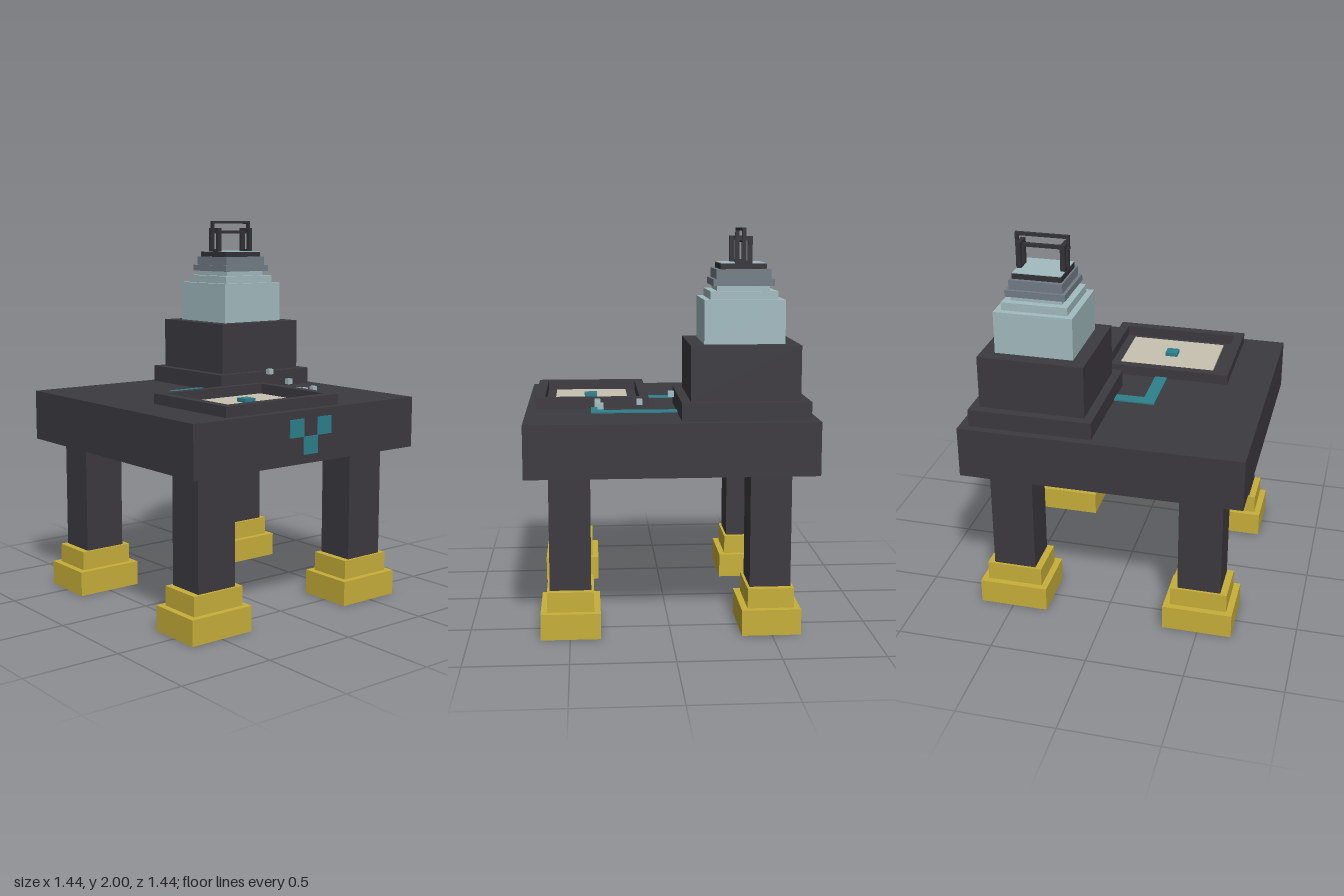
import * as THREE from 'three';

const mat = (name, color) => {
  const m = new THREE.MeshStandardMaterial({ color });
  m.name = name;
  return m;
};

export function createModel() {
  const root = new THREE.Group();
  root.name = 'steppedTable';
  const dark = mat('charcoal', 0x3c3a40);
  const black = mat('darkIron', 0x333238);
  const gold = mat('gold', 0xc8b03a);
  const pale = mat('paleBlue', 0xa3bcc1);
  const grey = mat('slateGrey', 0x737d87);
  const teal = mat('teal', 0x2d808c);
  const cream = mat('cream', 0xc8c2b0);

  // Box from its minimum and maximum corners
  const box = (name, m, x0, x1, y0, y1, z0, z1, parent = root) => {
    const mesh = new THREE.Mesh(new THREE.BoxGeometry(x1 - x0, y1 - y0, z1 - z0), m);
    mesh.position.set((x0 + x1) / 2, (y0 + y1) / 2, (z0 + z1) / 2);
    mesh.name = name;
    parent.add(mesh);
  };
  // Box centred on (cx, cz) with width w, depth d, from y0 to y1
  const block = (name, m, cx, cz, w, d, y0, y1, parent = root) =>
    box(name, m, cx - w / 2, cx + w / 2, y0, y1, cz - d / 2, cz + d / 2, parent);
  const group = (name) => {
    const g = new THREE.Group();
    g.name = name;
    root.add(g);
    return g;
  };

  // Table top
  box('tableTop', dark, -0.72, 0.72, 0.815, 1.08, -0.72, 0.715);

  // Legs with two-step feet
  for (const sx of [-1, 1]) for (const sz of [-1, 1]) {
    const leg = group('leg');
    const x = sx * 0.495, z = sz * 0.497;
    block('legPost', dark, x, z, 0.224, 0.205, 0.23, 0.815, leg);
    block('upperFoot', gold, x, z, 0.295, 0.232, 0.13, 0.23, leg);
    block('lowerFoot', gold, x, z, 0.362, 0.296, 0, 0.13, leg);
  }

  // Stepped tower
  const tower = group('tower');
  const TX = 0.357, TZ = -0.364;
  [
    ['towerPlinth', dark, 0.63, 0.63, 1.08, 1.17],
    ['towerBase', dark, 0.538, 0.538, 1.17, 1.44],
    ['towerBody', pale, 0.398, 0.398, 1.44, 1.655],
    ['towerShoulder', pale, 0.333, 0.333, 1.655, 1.695],
    ['towerNeck', pale, 0.26, 0.26, 1.695, 1.72],
    ['lowerCollar', grey, 0.303, 0.303, 1.72, 1.753],
    ['upperCollar', grey, 0.27, 0.27, 1.753, 1.8],
    ['cap', black, 0.25, 0.226, 1.8, 1.827],
    ['capTop', pale, 0.245, 0.222, 1.827, 1.831],
  ].forEach(([n, m, w, d, y0, y1]) => block(n, m, TX, TZ, w, d, y0, y1, tower));

  // Carrying handle: a square frame at each end and a rectangular grip
  const handle = group('handle');
  for (const s of [-1, 1]) {
    const x = TX + s * 0.111;
    for (const t of [-1, 1])
      block('handlePost', black, x, TZ + t * 0.032, 0.024, 0.022, 1.83, 1.96, handle);
    block('frameTop', black, x, TZ, 0.024, 0.086, 1.938, 1.96, handle);
    block('frameFoot', black, x, TZ, 0.024, 0.086, 1.828, 1.842, handle);
    block('gripEnd', black, TX + s * 0.129, TZ, 0.014, 0.02, 1.93, 2, handle);
  }
  block('gripTop', black, TX, TZ, 0.27, 0.02, 1.985, 2, handle);
  block('gripBottom', black, TX, TZ, 0.27, 0.02, 1.93, 1.947, handle);

  // Framed tray with a cream panel
  const tray = group('tray');
  const Y = 1.134;
  box('trayRimLeft', dark, 0.172, 0.222, 1.08, Y, 0.087, 0.672, tray);
  box('trayRimRight', dark, -0.497, -0.447, 1.08, Y, 0.087, 0.672, tray);
  box('trayRimBack', dark, -0.447, 0.172, 1.08, Y, 0.087, 0.133, tray);
  box('trayRimFront', dark, -0.447, 0.172, 1.08, Y, 0.621, 0.672, tray);
  box('trayPanel', cream, -0.394, 0.12, 1.08, 1.092, 0.187, 0.572, tray);
  box('trayButton', teal, -0.17, -0.104, 1.092, 1.112, 0.35, 0.417, tray);

  // Channels linking tower and tray
  const channels = group('channels');
  const T = 1.087;
  box('backChannelLong', teal, -0.17, -0.105, 1.08, T, -0.172, 0.087, channels);
  box('backChannelShort', teal, -0.17, 0.042, 1.08, T, -0.237, -0.172, channels);
  box('frontChannelLong', teal, 0.325, 0.39, 1.08, T, -0.049, 0.32, channels);
  box('frontChannelShort', teal, 0.222, 0.39, 1.08, T, 0.32, 0.385, channels);

  // Small cubes rising along the front channel
  [[0.238, 1.117, 0.352], [0.284, 1.112, 0.352], [0.36, 1.113, 0.338],
    [0.36, 1.133, 0.142], [0.36, 1.172, -0.017]].forEach(([x, y, z]) =>
    block('floatingCube', pale, x, z, 0.029, 0.029, y - 0.0145, y + 0.0145));

  // Three-square inlay on the front edge
  const inlay = group('frontInlay');
  [[-0.092, 0.995], [0.088, 0.995], [-0.002, 0.905]].forEach(([x, y]) =>
    box('inlaySquare', teal, x - 0.046, x + 0.046, y - 0.045, y + 0.045, 0.714, 0.72, inlay));

  return root;
}
